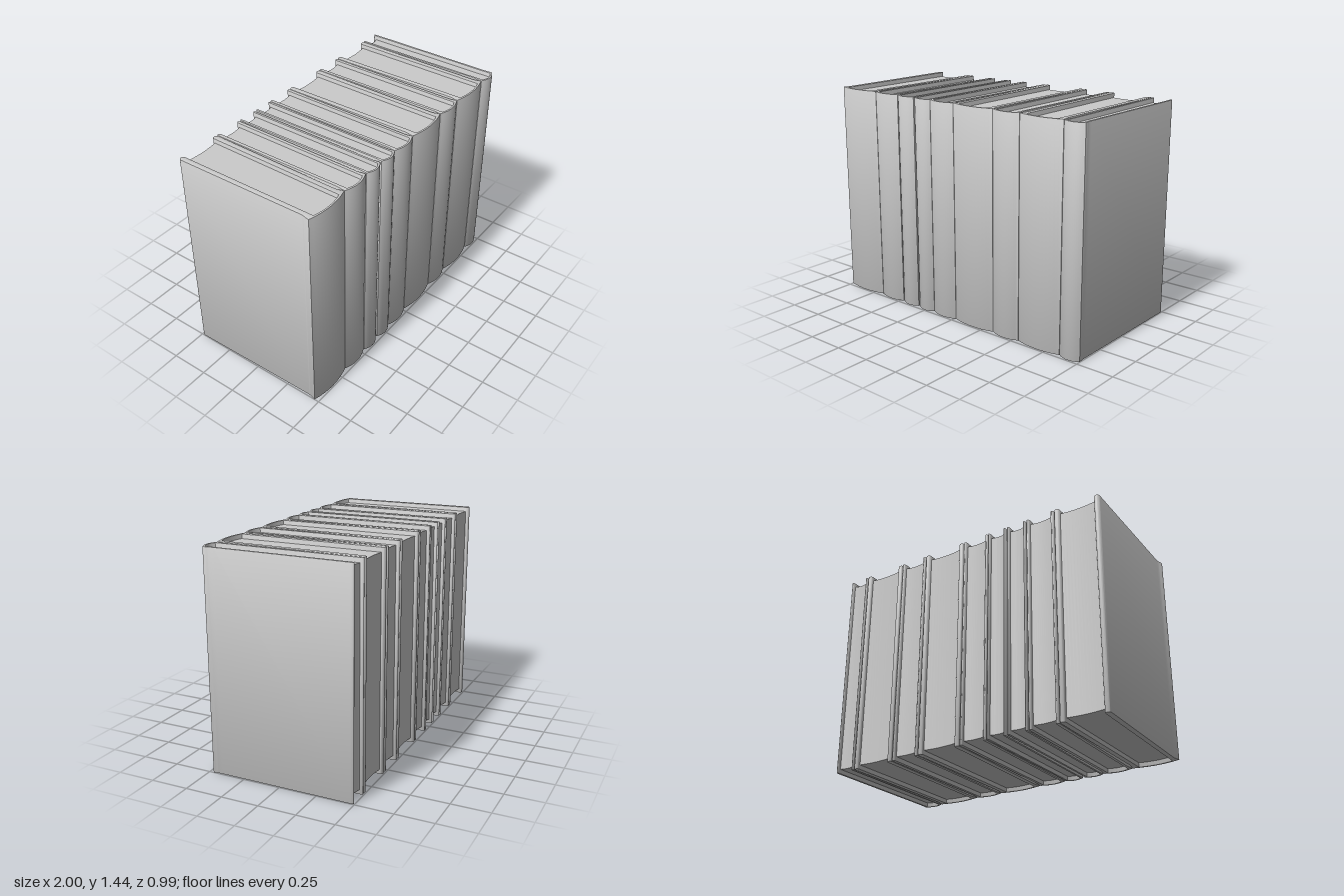
import * as THREE from 'three';
import { toCreasedNormals } from 'three/addons/utils/BufferGeometryUtils.js';

const HEIGHT = 1.44;
const OVERHANG = 0.03; // covers stand proud of the pages by this much
const BEVEL = 0.004;

// left and right edge of every book, along x
const BOOKS = [
  [-1, -0.68], [-0.678, -0.475], [-0.468, -0.33], [-0.318, -0.183], [-0.181, 0.013],
  [0.015, 0.331], [0.333, 0.535], [0.538, 0.851], [0.854, 1],
];

const grey = new THREE.MeshStandardMaterial({ color: 0xcccccc });

// Plan outlines are drawn as (x, -z) and raised along y
function raise(shape, y0, y1, bevel) {
  const geo = new THREE.ExtrudeGeometry(shape, {
    depth: y1 - y0 - 2 * bevel, curveSegments: 12, bevelEnabled: bevel > 0,
    bevelSize: bevel, bevelThickness: bevel, bevelOffset: -bevel, bevelSegments: 2,
  });
  geo.rotateX(-Math.PI / 2);
  geo.translate(0, y0 + bevel, 0);
  return toCreasedNormals(geo, 0.6);
}

// U-shaped cover: two boards with rounded ends, hinge grooves and a bowed spine
function coverShape(w) {
  const h = w / 2, t = 0.12 * w, g = 0.035 * w;
  const inner = h - g - 0.9 * t;
  const s = new THREE.Shape();
  s.moveTo(-h, -0.47);
  s.quadraticCurveTo(0, -0.52, h, -0.47);
  s.bezierCurveTo(h, -0.445, h - g, -0.44, h - g, -0.4);
  s.lineTo(h, 0.475);
  s.bezierCurveTo(h, 0.502, h - t, 0.502, h - t, 0.475);
  s.lineTo(inner, -0.4);
  s.lineTo(inner, -0.465);
  s.quadraticCurveTo(0, -0.499, -inner, -0.465);
  s.lineTo(-inner, -0.4);
  s.lineTo(t - h, 0.475);
  s.bezierCurveTo(t - h, 0.502, -h, 0.502, -h, 0.475);
  s.lineTo(g - h, -0.4);
  s.bezierCurveTo(g - h, -0.44, -h, -0.445, -h, -0.47);
  return s;
}

// Page block: bowed under the spine, hollow at the open edge
function pageShape(w) {
  const h = w / 2, back = h - 0.1 * w, front = h - 0.13 * w;
  const s = new THREE.Shape();
  s.moveTo(-front, -0.467);
  s.quadraticCurveTo(0, -0.501, front, -0.467);
  s.lineTo(back, 0.475);
  s.quadraticCurveTo(0, 0.452, -back, 0.475);
  s.closePath();
  return s;
}

function makeBook(w) {
  const book = new THREE.Group();
  const cover = new THREE.Mesh(raise(coverShape(w), 0, HEIGHT, BEVEL), grey);
  cover.name = 'cover';
  const pages = new THREE.Mesh(raise(pageShape(w), OVERHANG, HEIGHT - OVERHANG, 0), grey);
  pages.name = 'pages';
  book.add(cover, pages);
  return book;
}

export function createModel() {
  const row = new THREE.Group();
  row.name = 'bookRow';
  BOOKS.forEach(([x0, x1], i) => {
    const book = makeBook(x1 - x0);
    book.name = `book${i + 1}`;
    book.position.x = (x0 + x1) / 2;
    row.add(book);
  });
  return row;
}
